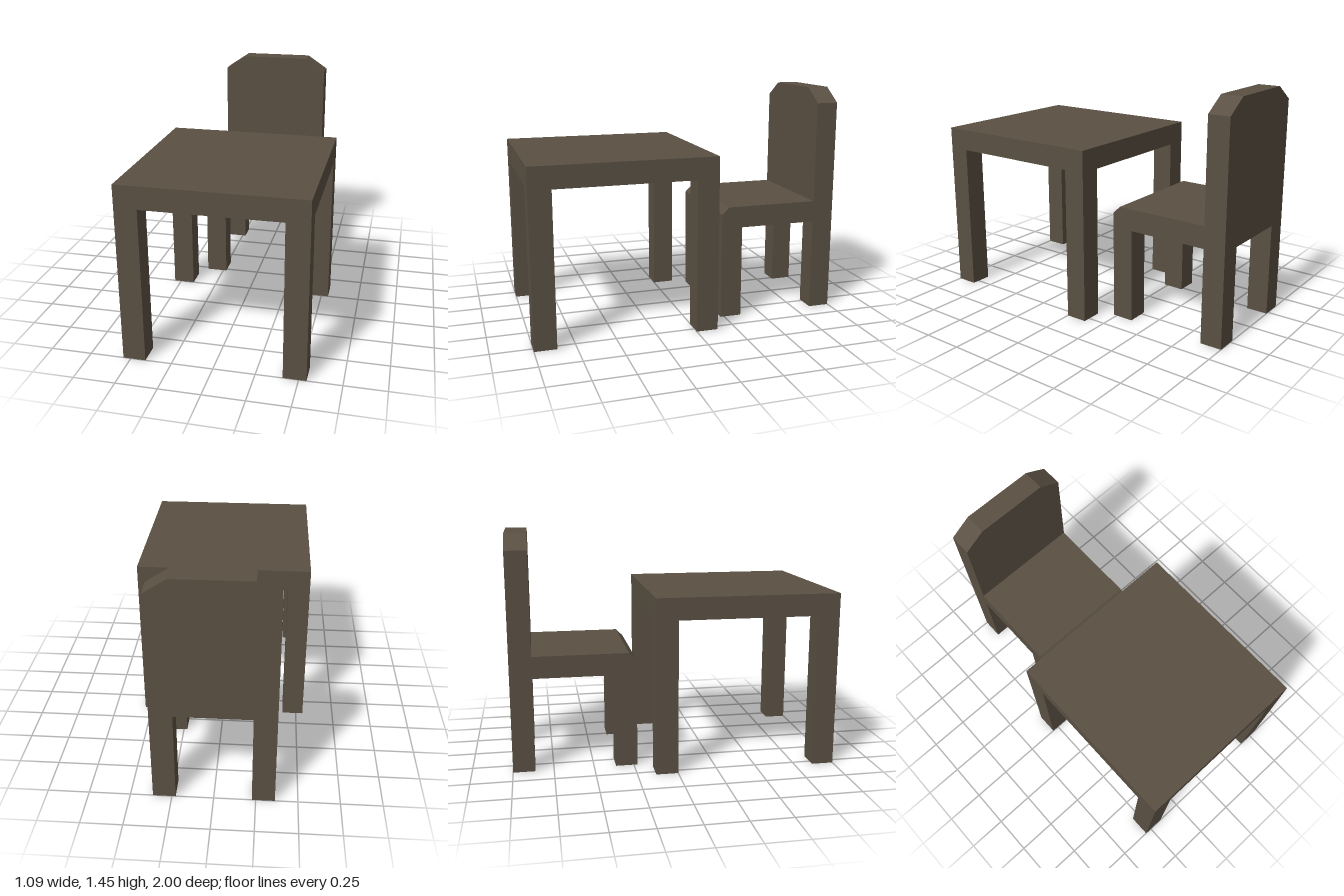
import * as THREE from 'three';

// All sizes are whole multiples of one small unit
const U = 1 / 22;

export function createModel() {
  const model = new THREE.Group();
  model.name = 'tableAndChair';
  const wood = new THREE.MeshStandardMaterial({ color: 0x5a5043 });
  wood.name = 'darkWood';

  const add = (parent, name, geometry) => {
    const mesh = new THREE.Mesh(geometry, wood);
    mesh.name = name;
    parent.add(mesh);
    return mesh;
  };

  // Box given by its minimum and maximum corners, in units
  const box = (parent, name, [x0, y0, z0], [x1, y1, z1]) => {
    const mesh = add(parent, name, new THREE.BoxGeometry((x1 - x0) * U, (y1 - y0) * U, (z1 - z0) * U));
    mesh.position.set((x0 + x1) / 2, (y0 + y1) / 2, (z0 + z1) / 2).multiplyScalar(U);
    return mesh;
  };

  // Flat outline, in units, extruded to a depth
  const extrude = (points, depth) => {
    const shape = new THREE.Shape(points.map(([x, y]) => new THREE.Vector2(x * U, y * U)));
    return new THREE.ExtrudeGeometry(shape, { depth: depth * U, bevelEnabled: false });
  };

  // Table: slab top on four square corner legs
  const table = new THREE.Group();
  table.name = 'table';
  model.add(table);
  box(table, 'tableTop', [-12, 21, -3], [12, 24, 22]);
  for (const x of [-12, 9]) {
    for (const z of [-3, 19]) box(table, 'tableLeg', [x, 0, z], [x + 3, 21, z + 3]);
  }

  // Chair
  const chair = new THREE.Group();
  chair.name = 'chair';
  model.add(chair);

  // Backrest with clipped top corners, in one piece with the rear legs
  const back = add(chair, 'backrestAndRearLegs', extrude([
    [-8, 0], [-5, 0], [-5, 13], [5, 13], [5, 0], [8, 0],
    [8, 30], [5, 32], [-5, 32], [-8, 30],
  ], 3));
  back.position.z = -22 * U;

  // Seat with a chamfered front edge, side profile extruded across x
  const seat = add(chair, 'seat', extrude([
    [5, 13], [19, 13], [19, 16], [6, 16], [5, 15],
  ], 16).rotateY(Math.PI / 2));
  seat.position.x = -8 * U;

  for (const x of [-8, 5]) box(chair, 'frontLeg', [x, 0, -8], [x + 3, 13, -5]);

  return model;
}
